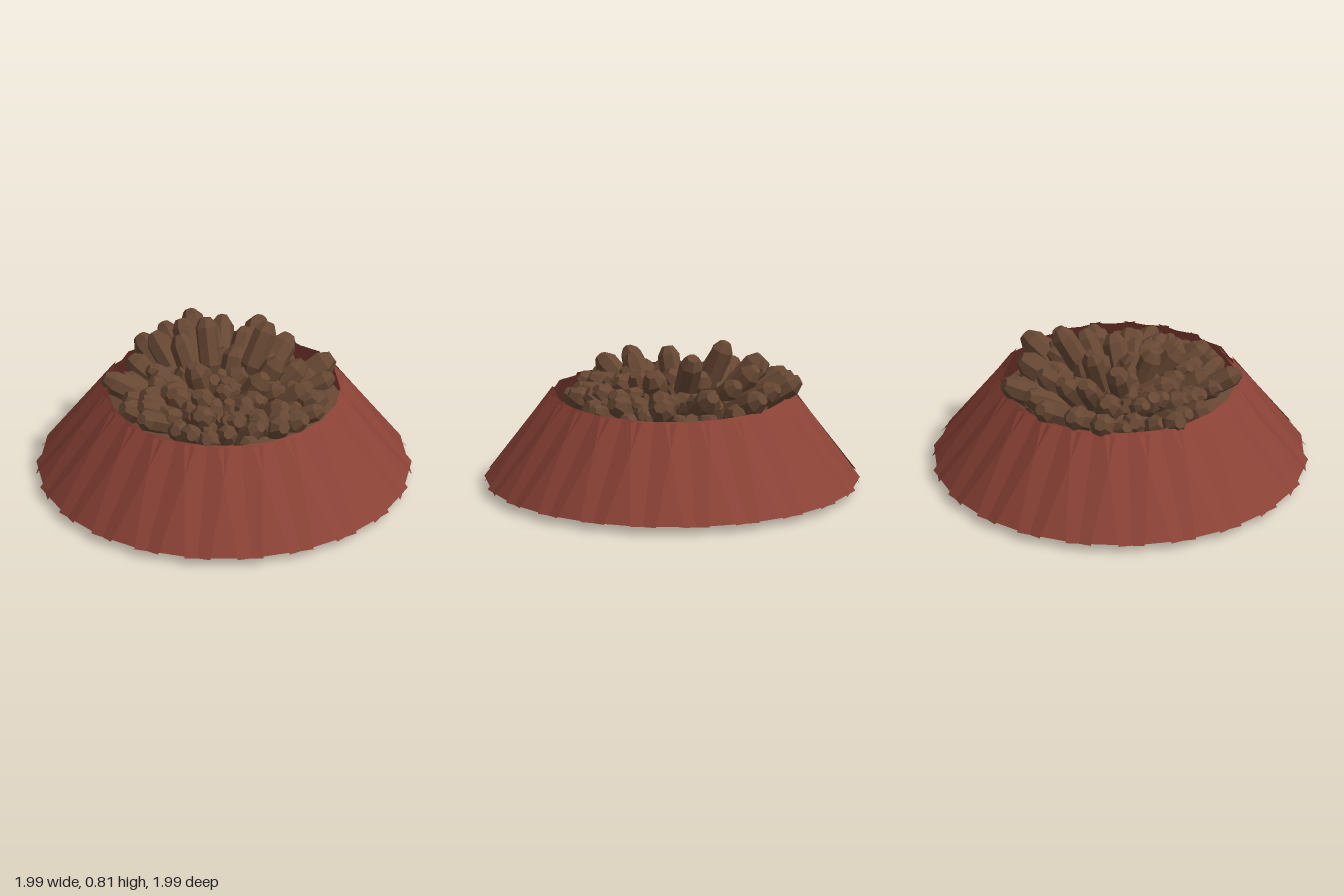
import * as THREE from 'three';

const red = new THREE.MeshStandardMaterial({ color: 0x8b4236, flatShading: true, side: THREE.DoubleSide });
const brown = new THREE.MeshStandardMaterial({ color: 0x664733, flatShading: true, side: THREE.DoubleSide });

// Small seeded generator
let seed = 7;
const rand = () => (seed = (seed * 16807) % 2147483647) / 2147483647;

const UP = new THREE.Vector3(0, 1, 0);

// Faceted pellet with its tip at the origin and its body running down -y
function pelletGeometry(length, r) {
  const profile = [[0, -length], [r * 0.5, -length], [r, -length + r * 0.8], [r, -r * 0.8], [r * 0.5, 0], [0, 0]];
  return new THREE.LatheGeometry(profile.map(([x, y]) => new THREE.Vector2(x, y)), 7);
}

function pellet(name, tip, direction, length, r) {
  const mesh = new THREE.Mesh(pelletGeometry(length, r), brown);
  mesh.name = name;
  mesh.position.set(...tip);
  mesh.quaternion.setFromUnitVectors(UP, direction.normalize());
  mesh.rotateY(rand() * 6);
  return mesh;
}

// Tips of the pellets on top of the heap: x, y, z
const TIPS = [
  [-0.09, 0.62, -0.68], [-0.24, 0.60, -0.60], [-0.38, 0.58, -0.52], [0.08, 0.61, -0.61], [0.28, 0.60, -0.59],
  [-0.17, 0.71, -0.44], [-0.32, 0.65, -0.42], [-0.02, 0.68, -0.46], [0.18, 0.64, -0.42], [0.40, 0.62, -0.35],
  [-0.06, 0.80, -0.28], [0.27, 0.79, -0.20], [-0.21, 0.73, -0.24], [0.10, 0.66, -0.20], [-0.46, 0.55, -0.34],
  [-0.62, 0.55, -0.16], [0.60, 0.60, -0.12], [0.44, 0.61, -0.06], [-0.36, 0.58, -0.10], [0.30, 0.69, 0.02],
  [-0.18, 0.72, 0.08], [0.00, 0.63, 0.10], [0.20, 0.66, 0.14], [-0.46, 0.55, 0.11], [-0.30, 0.60, 0.15],
  [0.42, 0.60, 0.20], [-0.18, 0.66, 0.28], [0.08, 0.60, 0.30], [0.28, 0.58, 0.34], [-0.36, 0.56, 0.30],
  [-0.50, 0.60, 0.40], [-0.20, 0.63, 0.46], [-0.04, 0.57, 0.42], [0.14, 0.55, 0.46], [-0.17, 0.53, 0.55],
];

// Pellets poking through the base: x, z
const POKES = [[-0.06, -0.39], [0.02, -0.3], [-0.15, -0.18], [-0.19, 0.0], [-0.26, -0.06], [-0.42, 0.29]];

export function createModel() {
  const model = new THREE.Group();

  // Wall of flat overlapping slats leaning inward
  const wall = new THREE.Group();
  wall.name = 'slatWall';
  const slat = new THREE.PlaneGeometry(0.42, Math.hypot(0.365, 0.48));
  slat.rotateX(-Math.atan2(0.365, 0.48));
  slat.translate(0, 0.28, 0.793);
  const count = 22;
  for (let i = 0; i < count; i++) {
    const mesh = new THREE.Mesh(slat, red);
    mesh.name = 'slat';
    mesh.rotation.y = Math.PI / 2 + (i / count) * Math.PI * 2;
    wall.add(mesh);
  }
  model.add(wall);

  // Base disc
  const base = new THREE.Mesh(new THREE.CylinderGeometry(0.92, 0.92, 0.02, 32), red);
  base.name = 'base';
  base.position.y = 0.055;
  model.add(base);

  // Solid bed under the heap
  const bedProfile = [[0.89, 0.07], [0.645, 0.39], [0.5, 0.43], [0.25, 0.46], [0, 0.46]];
  const bed = new THREE.Mesh(
    new THREE.LatheGeometry(bedProfile.map(([x, y]) => new THREE.Vector2(x, y)), 22), brown);
  bed.name = 'bed';
  model.add(bed);

  // Heap: placed pellets pointing up and outward
  const heap = new THREE.Group();
  heap.name = 'heap';
  for (const [x, y, z] of TIPS) {
    const dir = new THREE.Vector3(x + (rand() - 0.5) * 0.12, y - 0.22, z + (rand() - 0.5) * 0.12);
    heap.add(pellet('pellet', [x, y, z], dir, 0.3, 0.058 + rand() * 0.014));
  }

  // Lower pellets spread over the bed, lying flatter toward the rim
  for (let i = 0; i < 90; i++) {
    const a = i * 2.39996;
    const r = 0.59 * Math.sqrt((i + 0.5) / 90);
    const x = r * Math.cos(a), z = r * Math.sin(a);
    const y = 0.585 - 0.22 * r * r + (rand() - 0.5) * 0.07;
    const dir = new THREE.Vector3(x + (rand() - 0.5) * 0.5, 0.32, z + (rand() - 0.5) * 0.5);
    heap.add(pellet('pellet', [x, y, z], dir, 0.26, 0.05 + rand() * 0.02));
  }
  model.add(heap);

  // Pellet ends showing under the base
  const pokes = new THREE.Group();
  pokes.name = 'lowerPellets';
  POKES.forEach(([x, z], i) => {
    const dir = new THREE.Vector3((rand() - 0.5) * 0.9, -1, (rand() - 0.5) * 0.9);
    pokes.add(pellet('lowerPellet', [x, 0.015, z], dir, 0.25, 0.06));
  });
  model.add(pokes);

  // Rest the lowest pellet on the ground
  model.updateMatrixWorld(true);
  const low = new THREE.Box3().setFromObject(pokes, true).min.y;
  pokes.position.y -= low;

  return model;
}
